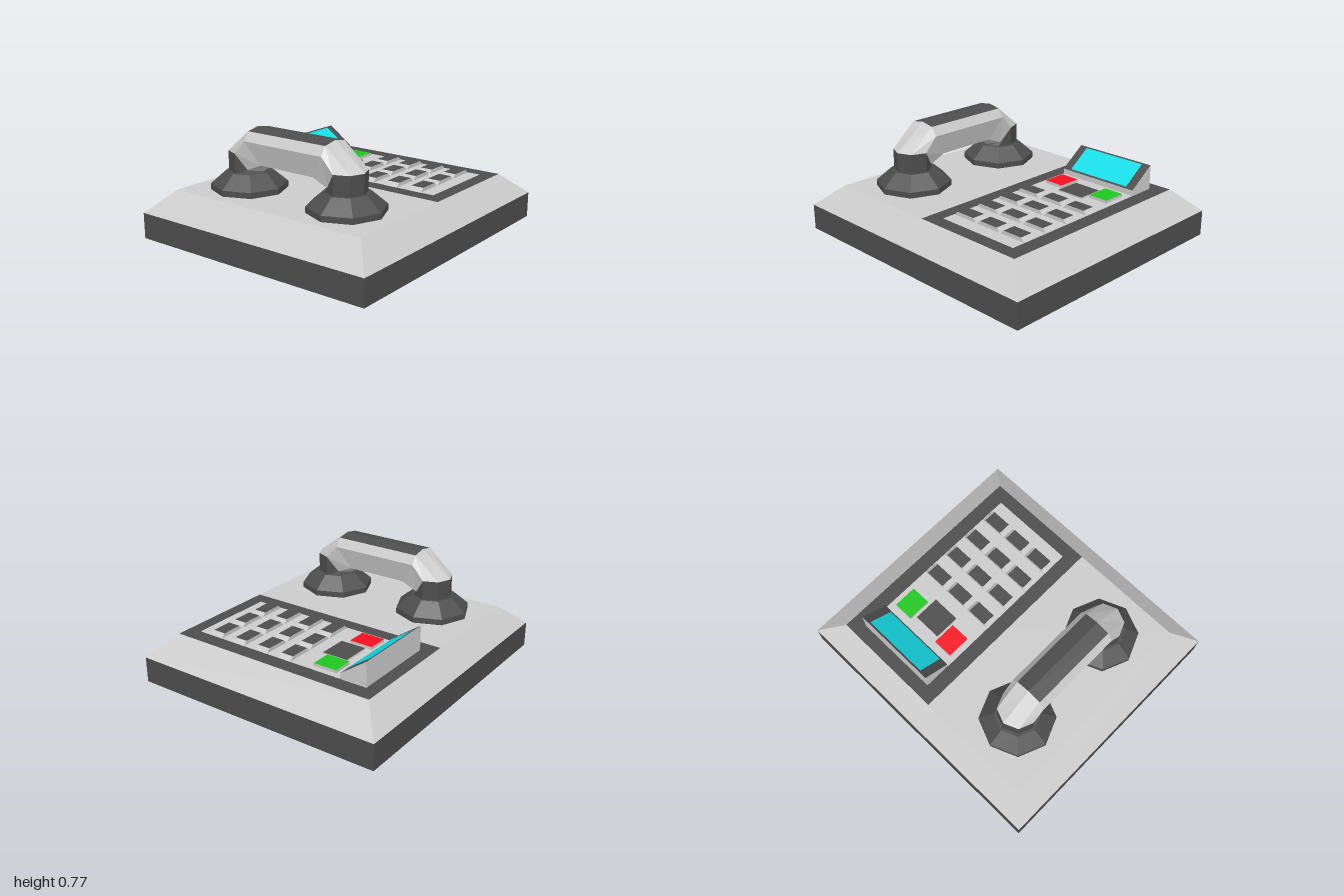
import * as THREE from 'three';

const mat = (color) => new THREE.MeshStandardMaterial({ color, flatShading: true });

export function createModel() {
  const phone = new THREE.Group();
  phone.name = 'deskPhone';
  const light = mat(0xcccccc);
  const dark = mat(0x4d4d4d);

  const add = (name, geometry, material, x = 0, y = 0, z = 0, parent = phone) => {
    const mesh = new THREE.Mesh(geometry, material);
    mesh.name = name;
    mesh.position.set(x, y, z);
    parent.add(mesh);
  };

  // Box standing on y = 0 whose top is narrowed by sx and sz
  const taperedBox = (w, h, d, sx = 1, sz = 1) => {
    const g = new THREE.BoxGeometry(w, h, d).translate(0, h / 2, 0);
    const p = g.attributes.position;
    for (let i = 0; i < p.count; i++) {
      if (p.getY(i) > h / 2) p.setXYZ(i, p.getX(i) * sx, h, p.getZ(i) * sz);
    }
    g.computeVertexNormals();
    return g;
  };
  const flat = (w, d) => new THREE.PlaneGeometry(w, d).rotateX(-Math.PI / 2);
  // Materials for a box with a differently coloured top
  const capped = (top) => [light, light, top, light, light, light];

  // Body: dark plinth, bevelled light cover, inlaid panels
  const top = 0.33;
  add('base', taperedBox(2, 0.18, 1.836), dark);
  add('cover', taperedBox(2, top - 0.18, 1.836, 0.825, 0.833), light, 0, 0.18, 0);
  add('controlPanel', flat(0.823, 1.528), dark, 0.4125, top + 0.002, 0);
  add('keypadPlate', flat(0.62, 1.15), light, 0.41, top + 0.004, 0.094);

  // Keypad: four rows of three keys with sloping sides
  const keys = new THREE.Group();
  keys.name = 'keypad';
  phone.add(keys);
  for (const z of [-0.052, 0.14, 0.332, 0.525]) {
    for (const x of [0.203, 0.41, 0.617]) {
      add('key', taperedBox(0.205, 0.03, 0.094, 0.71), capped(dark), x, top, z, keys);
    }
  }

  // Large buttons above the keypad
  add('redButton', taperedBox(0.145, 0.024, 0.17), capped(mat(0xf51020)), 0.213, top, -0.337);
  add('greenButton', taperedBox(0.145, 0.024, 0.17), capped(mat(0x1cc81c)), 0.605, top, -0.337);
  add('middleButton', taperedBox(0.205, 0.014, 0.185), capped(dark), 0.407, top, -0.291);

  // Display: wedge housing, dark sloping face, blue screen
  const wedge = new THREE.Shape();
  wedge.moveTo(0.483, top).lineTo(0.673, top).lineTo(0.673, 0.503).lineTo(0.483, 0.37).closePath();
  const wedgeGeo = new THREE.ExtrudeGeometry(wedge, { depth: 0.615, bevelEnabled: false });
  add('displayHousing', wedgeGeo.rotateY(Math.PI / 2), light, 0.103, 0, 0);
  const display = new THREE.Group();
  display.name = 'display';
  display.position.set(0.41, 0.4365, -0.578);
  display.rotation.x = Math.atan2(0.133, 0.19);
  phone.add(display);
  add('displayFrame', flat(0.615, 0.232), dark, 0, 0.002, 0, display);
  add('screen', flat(0.49, 0.205), mat(0x15dde8), 0, 0.005, 0, display);

  // Handset
  const handset = new THREE.Group();
  handset.name = 'handset';
  handset.position.x = -0.495;
  phone.add(handset);
  for (const s of [1, -1]) {
    add('cupRim', new THREE.CylinderGeometry(0.26, 0.26, 0.04, 8), dark, 0, top + 0.02, s * 0.413, handset);
    add('cupCone', new THREE.CylinderGeometry(0.155, 0.26, 0.09, 8), dark, 0, top + 0.085, s * 0.413, handset);
  }

  // Octagonal cross-sections from the foot of one neck to the crown;
  // each lists heights and z for steps 0 (outer) to 4 (inner)
  const half = [
    { y: [0.45, 0.45, 0.45, 0.45, 0.45], z: [0.547, 0.507, 0.41, 0.313, 0.273] },
    { y: [0.595, 0.595, 0.595, 0.487, 0.465], z: [0.547, 0.507, 0.41, 0.335, 0.29] },
    { y: [0.77, 0.752, 0.692, 0.537, 0.512], z: [0.32, 0.32, 0.32, 0.22, 0.21] },
  ];
  const ring = ({ y, z }, s) => Array.from({ length: 8 }, (_, k) => {
    const i = k <= 4 ? k : 8 - k;
    return [0.137 * Math.sin(k * Math.PI / 4), y[i], s * z[i]];
  });
  const rings = [...half.map((h) => ring(h, 1)), ...half.reverse().map((h) => ring(h, -1))];

  // Skin the sections: dark necks and grip top, light elsewhere
  const darkFaces = [], lightFaces = [];
  for (let j = 0; j < 5; j++) {
    for (let k = 0; k < 8; k++) {
      const n = (k + 1) % 8;
      const [a, b, c, d] = [rings[j][k], rings[j][n], rings[j + 1][n], rings[j + 1][k]];
      const isNeck = j === 0 || j === 4;
      const isCrown = j === 2 && (k === 0 || k === 7);
      (isNeck || isCrown ? darkFaces : lightFaces).push(...a, ...b, ...c, ...a, ...c, ...d);
    }
  }
  const facets = (list) => {
    const g = new THREE.BufferGeometry();
    g.setAttribute('position', new THREE.Float32BufferAttribute(list, 3));
    g.computeVertexNormals();
    return g;
  };
  add('necksAndGripTop', facets(darkFaces), dark, 0, 0, 0, handset);
  add('grip', facets(lightFaces), light, 0, 0, 0, handset);

  return phone;
}
